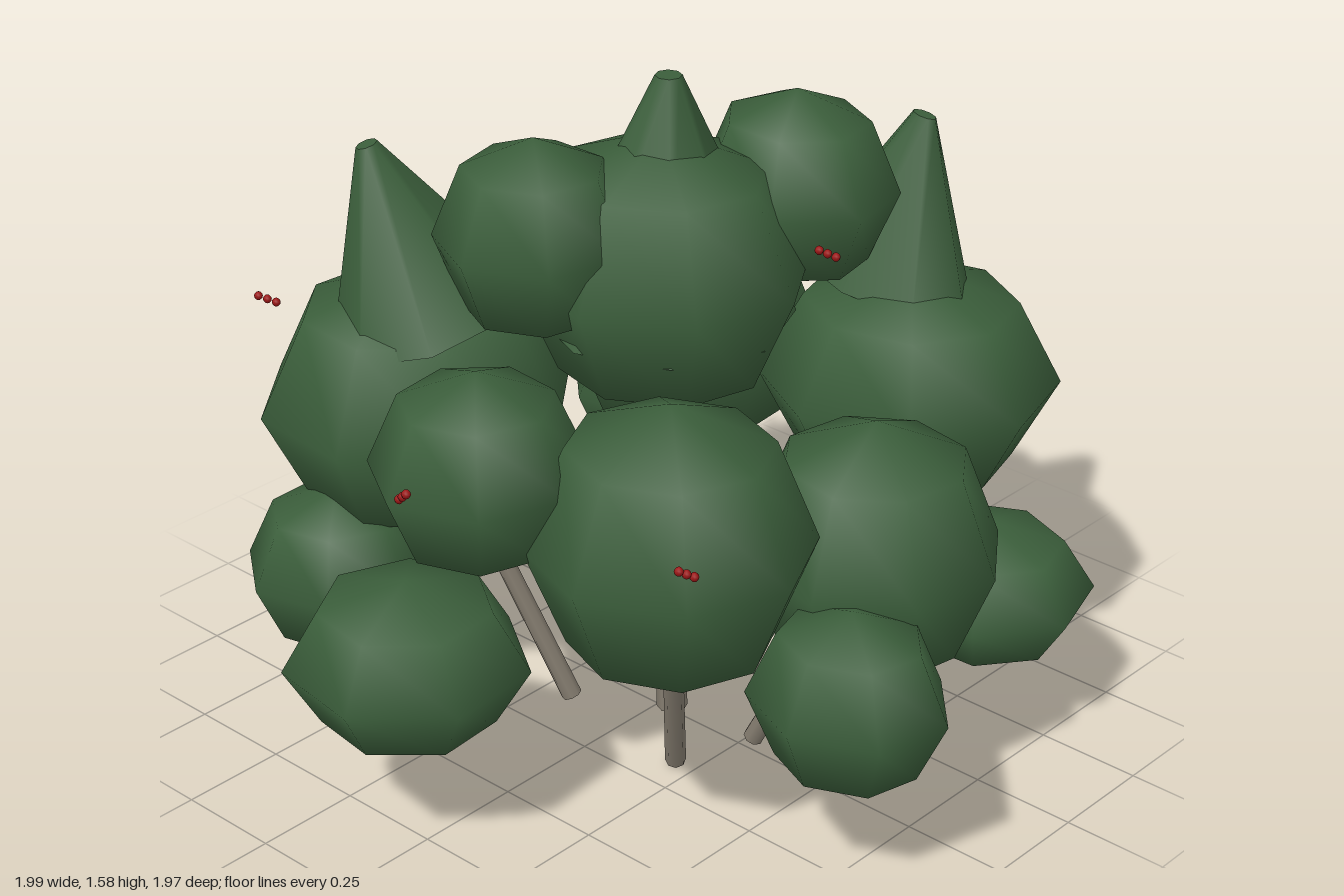
import * as THREE from 'three';

export function createModel() {
  const group = new THREE.Group();
  const mat = (name, color) => {
    const m = new THREE.MeshStandardMaterial({ color });
    m.name = name;
    return m;
  };
  const leaf = mat('leaf green', 0x3b5e3b);
  const bark = mat('bark grey brown', 0x857d70);
  const red = mat('berry red', 0x9c1616);

  const add = (name, geometry, material) => {
    const mesh = new THREE.Mesh(geometry, material);
    mesh.name = name;
    group.add(mesh);
    return mesh;
  };

  // Tapered cylinder between two points
  const rod = (name, from, to, rBottom, rTop, sides, material) => {
    const a = new THREE.Vector3(...from), b = new THREE.Vector3(...to);
    const dir = b.clone().sub(a);
    const mesh = add(name, new THREE.CylinderGeometry(rTop, rBottom, dir.length(), sides), material);
    mesh.position.copy(a).add(b).multiplyScalar(0.5);
    mesh.quaternion.setFromUnitVectors(new THREE.Vector3(0, 1, 0), dir.normalize());
    return mesh;
  };

  // Leaf clumps: centre, then radii
  const clump = (name, sides, [x, y, z, rx, ry, rz], yaw) => {
    const g = new THREE.SphereGeometry(1, sides, 4);
    g.rotateY(yaw);
    const mesh = add(name, g, leaf);
    mesh.position.set(x, y, z);
    mesh.scale.set(rx, ry, rz);
  };

  const large = [
    [-0.02, 1.14, 0.03, 0.32, 0.32, 0.34],
    [-0.32, 0.79, -0.44, 0.37, 0.31, 0.35],
    [0.44, 0.76, -0.30, 0.32, 0.32, 0.32],
    [0.475, 0.80, 0.335, 0.335, 0.27, 0.35],
    [-0.45, 0.79, 0.445, 0.305, 0.32, 0.315],
    [0.025, 0.64, 0.60, 0.285, 0.305, 0.29],
  ];
  large.forEach((c, i) => clump('largeLeafClump', 8, c, 0.15 + i * 0.17));

  const small = [
    [-0.27, 1.25, -0.11, 0.22, 0.23, 0.225],
    [0.285, 1.27, 0.15, 0.215, 0.23, 0.24],
    [-0.66, 0.92, 0.10, 0.235, 0.225, 0.235],
    [-0.74, 0.44, -0.05, 0.27, 0.19, 0.275],
    [-0.55, 0.43, -0.47, 0.22, 0.20, 0.22],
    [0.08, 0.44, -0.71, 0.26, 0.19, 0.275],
    [0.58, 0.45, -0.56, 0.205, 0.195, 0.195],
    [0.75, 0.44, 0.11, 0.26, 0.19, 0.245],
    [0.47, 0.35, 0.58, 0.24, 0.165, 0.26],
    [-0.24, 0.45, 0.76, 0.205, 0.21, 0.23],
  ];
  small.forEach((c, i) => clump('smallLeafClump', 7, c, i * 0.4));

  // Pointed leafy tips, the middle one wide and the right one narrow
  rod('leafTip', [0, 1.025, 0.02], [0, 1.58, 0.03], 0.29, 0.03, 8, leaf);
  rod('leafTip', [0.485, 1.01, 0.25], [0.53, 1.41, 0.31], 0.235, 0.03, 8, leaf).scale.x = 0.66;
  rod('leafTip', [-0.32, 1.01, -0.38], [-0.415, 1.41, -0.47], 0.235, 0.025, 8, leaf);

  // Stems reaching up into the large clumps
  const feet = [[0.005, 0.04], [-0.12, -0.165], [0.155, -0.13], [0.195, 0.155], [-0.16, 0.2], [0.03, 0.27]];
  feet.forEach(([x, z], i) => {
    const [cx, cy, cz] = large[i];
    rod('stem', [x, 0.01, z], [cx, cy, cz], i ? 0.024 : 0.036, i ? 0.02 : 0.028, 8, bark);
  });

  // Short rows of berries: centre, then step from one berry to the next
  const berries = [
    [-0.64, 0.88, 0.66, 0.014, -0.009, 0.008],
    [0.13, 1.225, 0.37, 0.014, -0.009, 0.012],
    [0.95, 0.53, 0.12, 0.006, 0.012, 0.016],
    [-0.89, 0.955, 0.12, -0.003, 0.012, 0.014],
    [-0.50, 0.99, -0.73, 0.016, -0.010, 0.011],
    [0.60, 0.83, -0.58, 0.016, 0.013, -0.011],
  ];
  const berryShape = new THREE.SphereGeometry(0.01, 8, 6);
  for (const [x, y, z, dx, dy, dz] of berries) {
    for (const k of [-1, 0, 1]) {
      add('berry', berryShape, red).position.set(x + k * dx, y + k * dy, z + k * dz);
    }
  }

  return group;
}
